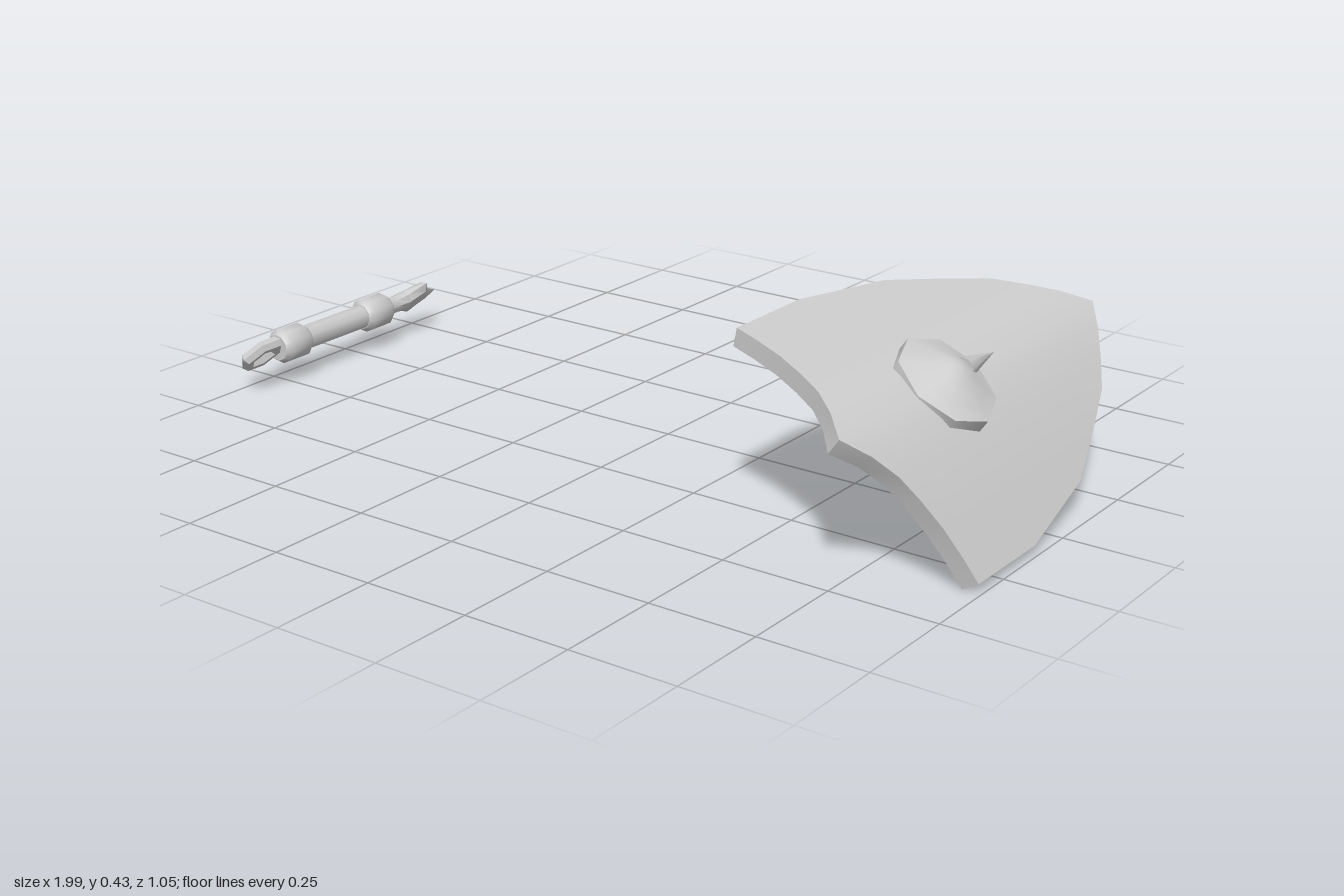
import * as THREE from 'three';
import { toCreasedNormals } from 'three/addons/utils/BufferGeometryUtils.js';

const material = new THREE.MeshStandardMaterial({ color: 0xcccccc });

function add(parent, name, geometry) {
  const mesh = new THREE.Mesh(geometry, material);
  mesh.name = name;
  parent.add(mesh);
  return mesh;
}

// Half of the shield, from the centre ridge to the side edge:
// distance from centre, height, front z, back z
const RIBS = [
  [0, 0, 0.52, -0.53],
  [0.06, -0.009, 0.468, -0.475],
  [0.115, -0.027, 0.425, -0.425],
  [0.17, -0.046, 0.4, -0.37],
  [0.235, -0.073, 0.372, -0.26],
  [0.3, -0.102, 0.352, -0.14],
  [0.353, -0.126, 0.34, 0.11],
];

// Curved plate: a subdivided box bent across and trimmed to the outline
function plateGeometry() {
  const n = RIBS.length - 1;
  const geo = new THREE.BoxGeometry(2 * n, 1, 1, 2 * n, 1, 8);
  const p = geo.attributes.position;
  for (let i = 0; i < p.count; i++) {
    const column = Math.round(p.getX(i));
    const k = Math.abs(column);
    const side = Math.sign(column);
    const [u, v, front, back] = RIBS[k];
    const a = RIBS[Math.max(k - 1, 0)];
    const b = RIBS[Math.min(k + 1, n)];
    const angle = k === 0 ? 0 : Math.atan2(b[1] - a[1], b[0] - a[0]);
    const depth = (0.5 - p.getY(i)) * 0.042;
    p.setXYZ(
      i,
      side * (u + Math.sin(angle) * depth),
      v - Math.cos(angle) * depth,
      THREE.MathUtils.lerp(back, front, p.getZ(i) + 0.5)
    );
  }
  return toCreasedNormals(geo, 0.7);
}

function createShield() {
  const shield = new THREE.Group();
  shield.name = 'shield';
  add(shield, 'shieldPlate', plateGeometry());

  // Eight-sided boss on the ridge
  const profile = [[0.118, -0.045], [0.118, 0.004], [0.085, 0.016], [0.045, 0.036], [0.02, 0.046], [0, 0.049]];
  const boss = add(shield, 'boss', toCreasedNormals(
    new THREE.LatheGeometry(profile.map(([r, y]) => new THREE.Vector2(r, y)), 8), 0.9));
  boss.position.z = 0.115;

  // Spike pointing backwards from the boss
  const spike = new THREE.ConeGeometry(0.026, 0.13, 8);
  spike.rotateX(-Math.PI / 2);
  add(shield, 'bossSpike', spike).position.set(0, 0.018, 0.005);

  shield.position.set(0.78, 0.325, 0);
  shield.rotation.z = -0.621;
  return shield;
}

// Flat pointed head: rings of [z, half width, half thickness]
function headGeometry() {
  const rings = [
    [-0.285, 0.001, 0.001], [-0.24, 0.026, 0.014], [-0.207, 0.066, 0.02],
    [-0.168, 0.03, 0.024], [-0.135, 0.021, 0.021], [-0.09, 0.026, 0.026],
  ];
  const geo = new THREE.CylinderGeometry(1, 1, 1, 8, rings.length - 1, false);
  const p = geo.attributes.position;
  for (let i = 0; i < p.count; i++) {
    const [z, w, t] = rings[Math.round((0.5 - p.getY(i)) * (rings.length - 1))];
    p.setXYZ(i, p.getX(i) * w, p.getZ(i) * t, z);
  }
  // The top of the cylinder becomes the tip at the back
  return toCreasedNormals(geo, 0.8);
}

function createMace() {
  const mace = new THREE.Group();
  mace.name = 'mace';

  const shaft = new THREE.CylinderGeometry(0.03, 0.03, 0.24, 10);
  shaft.rotateX(Math.PI / 2);
  add(mace, 'shaft', shaft).position.z = 0.09;

  // Rounded collars at both ends of the shaft
  const collar = new THREE.LatheGeometry(
    [[0, -0.045], [0.032, -0.045], [0.042, -0.032], [0.042, 0.032], [0.032, 0.045], [0, 0.045]]
      .map(([r, y]) => new THREE.Vector2(r, y)), 10);
  collar.rotateX(-Math.PI / 2);
  const collarGeometry = toCreasedNormals(collar, 0.9);
  for (const [name, z] of [['headCollar', -0.055], ['pommelCollar', 0.235]]) {
    add(mace, name, collarGeometry).position.z = z;
  }

  add(mace, 'maceHead', headGeometry());

  // Six-sided ring pommel lying in the plane of the head
  const ring = new THREE.TorusGeometry(0.043, 0.016, 6, 6);
  ring.rotateZ(Math.PI / 6);
  ring.rotateX(Math.PI / 2);
  add(mace, 'ringPommel', toCreasedNormals(ring, 0.8)).position.z = 0.333;

  mace.position.set(-0.953, 0.087, 0);
  mace.rotation.z = Math.PI / 4;
  return mace;
}

export function createModel() {
  const model = new THREE.Group();
  model.name = 'shieldAndMace';
  model.add(createShield(), createMace());
  return model;
}
